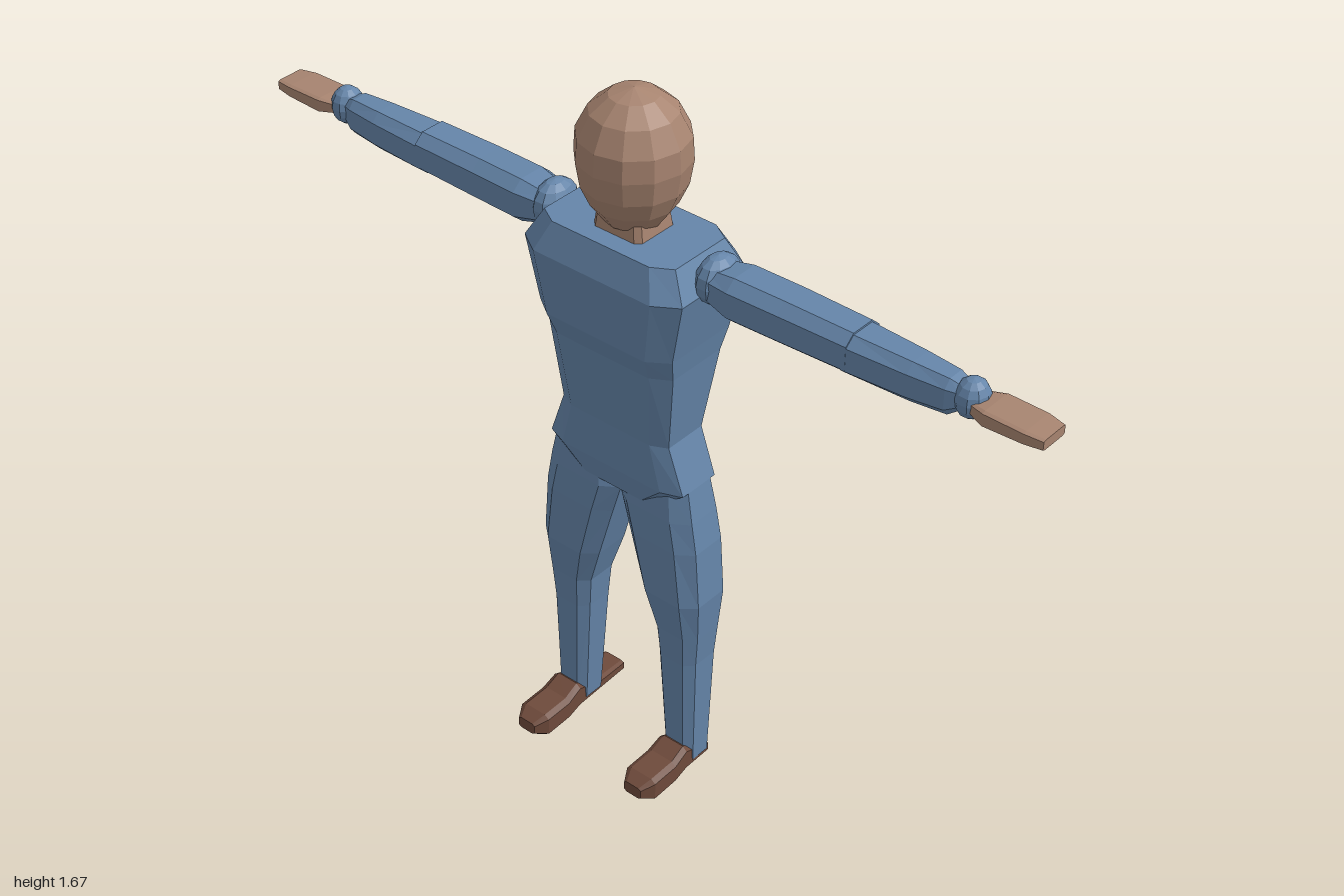
import * as THREE from 'three';

const mat = (name, color) => {
  const m = new THREE.MeshStandardMaterial({ color, flatShading: true });
  m.name = name;
  return m;
};

// Chamfered rectangle in a (u, v) plane
function octagon(u0, u1, v0, v1, cut) {
  const c = (u1 - u0) * cut, d = (v1 - v0) * cut;
  return [[u0 + c, v0], [u1 - c, v0], [u1, v0 + d], [u1, v1 - d],
    [u1 - c, v1], [u0 + c, v1], [u0, v1 - d], [u0, v0 + d]];
}

// Skins chamfered cross-sections [position, u0, u1, v0, v1] placed along one axis
function loft(sections, axis, cut = 0.2, side = 1) {
  const place = {
    x: (t, u, v) => new THREE.Vector3(t * side, u, v),
    y: (t, u, v) => new THREE.Vector3(u * side, t, v),
    z: (t, u, v) => new THREE.Vector3(u * side, v, t),
  }[axis];
  const rings = sections.map(([t, u0, u1, v0, v1]) =>
    octagon(u0, u1, v0, v1, cut).map(([u, v]) => place(t, u, v)));
  const tris = [];
  for (let i = 0; i < rings.length - 1; i++) {
    for (let j = 0; j < 8; j++) {
      const k = (j + 1) % 8, a = rings[i], b = rings[i + 1];
      tris.push([a[j], a[k], b[k]], [a[j], b[k], b[j]]);
    }
  }
  const first = rings[0], last = rings[rings.length - 1];
  for (let j = 1; j < 7; j++) {
    tris.push([first[0], first[j + 1], first[j]], [last[0], last[j], last[j + 1]]);
  }
  // Turn the faces outwards whichever axis or side was used
  const centre = new THREE.Vector3();
  rings.flat().forEach(p => centre.add(p));
  centre.divideScalar(rings.length * 8);
  let volume = 0;
  const rel = p => p.clone().sub(centre);
  for (const [a, b, c] of tris) volume += rel(a).dot(rel(b).cross(rel(c)));
  const points = tris.flatMap(([a, b, c]) => (volume > 0 ? [a, b, c] : [a, c, b]));
  const geo = new THREE.BufferGeometry().setFromPoints(points);
  geo.computeVertexNormals();
  return geo;
}

export function createModel() {
  const model = new THREE.Group();
  model.name = 'figure';
  const cloth = mat('blue cloth', 0x6585a9);
  const skin = mat('skin', 0xa78470);
  const leather = mat('brown leather', 0x6e4a3b);

  const add = (name, geo, material, parent = model) => {
    const mesh = new THREE.Mesh(geo, material);
    mesh.name = name;
    parent.add(mesh);
    return mesh;
  };

  // Egg-shaped head
  const profile = [[0, 1.375], [0.062, 1.378], [0.092, 1.42], [0.112, 1.465], [0.121, 1.52],
    [0.118, 1.57], [0.092, 1.622], [0.052, 1.655], [0, 1.67]];
  add('head', new THREE.LatheGeometry(profile.map(p => new THREE.Vector2(...p)), 12), skin)
    .position.z = -0.025;

  add('neck', loft([
    [1.34, -0.066, 0.066, -0.085, 0.035],
    [1.4, -0.058, 0.058, -0.078, 0.03],
  ], 'y', 0.1), skin);

  // Torso from hips to shoulders
  const torso = [
    [0.735, 0.105, -0.085, 0.04], [0.79, 0.183, -0.092, 0.048], [0.9, 0.145, -0.092, 0.05],
    [1.09, 0.167, -0.128, 0.073], [1.145, 0.177, -0.148, 0.094],
    [1.295, 0.208, -0.16, 0.106], [1.36, 0.172, -0.128, 0.077],
  ];
  add('torso', loft(torso.map(([y, w, b, f]) => [y, -w, w, b, f]), 'y', 0.13), cloth);

  for (const side of [1, -1]) {
    const label = side > 0 ? 'left' : 'right';
    const arm = new THREE.Group();
    arm.name = label + 'Arm';
    const leg = new THREE.Group();
    leg.name = label + 'Leg';
    model.add(arm, leg);

    // Shoulder and wrist joints
    const ball = (name, x, y, rx, ry, rz) => {
      const m = add(name, new THREE.SphereGeometry(1, 10, 8), cloth, arm);
      m.position.set(x * side, y, -0.03);
      m.scale.set(rx, ry, rz);
    };
    ball('shoulder', 0.215, 1.32, 0.04, 0.055, 0.058);
    ball('wrist', 0.82, 1.32, 0.036, 0.044, 0.038);

    add('upperArm', loft([
      [0.2, 1.285, 1.35, -0.068, 0.015], [0.28, 1.262, 1.363, -0.086, 0.028],
      [0.4, 1.262, 1.362, -0.089, 0.024], [0.565, 1.267, 1.362, -0.084, 0.022],
    ], 'x', 0.22, side), cloth, arm);
    add('forearm', loft([
      [0.555, 1.265, 1.358, -0.084, 0.022], [0.7, 1.267, 1.357, -0.072, 0.014],
      [0.78, 1.272, 1.354, -0.063, 0.005], [0.805, 1.29, 1.345, -0.055, -0.005],
    ], 'x', 0.22, side), cloth, arm);
    add('hand', loft([
      [0.835, 1.303, 1.328, -0.06, 0], [0.87, 1.298, 1.332, -0.072, 0.012],
      [0.96, 1.302, 1.33, -0.072, 0.012], [1, 1.304, 1.327, -0.064, 0.006],
    ], 'x', 0.1, side), skin, arm);

    // Trouser leg
    add('trouserLeg', loft([
      [0.03, 0.12, 0.198, -0.068, 0.014], [0.32, 0.102, 0.205, -0.08, 0.024],
      [0.4, 0.095, 0.212, -0.085, 0.03], [0.5, 0.062, 0.22, -0.095, 0.044],
      [0.64, 0.022, 0.21, -0.095, 0.044], [0.715, 0, 0.197, -0.092, 0.042],
      [0.79, 0.01, 0.182, -0.085, 0.035],
    ], 'y', 0.2, side), cloth, leg);

    // Shoe, with the right one carrying a longer flat heel
    const shoe = [
      [-0.06, 0.125, 0.195, 0.015, 0.042], [0.02, 0.12, 0.198, 0.012, 0.08],
      [0.06, 0.118, 0.2, 0.003, 0.062], [0.13, 0.118, 0.2, 0, 0.06],
      [0.16, 0.135, 0.183, 0.015, 0.045],
    ];
    if (side < 0) shoe.unshift([-0.145, 0.13, 0.19, 0.013, 0.036]);
    add('shoe', loft(shoe, 'z', 0.15, side), leather, leg);
  }
  return model;
}
